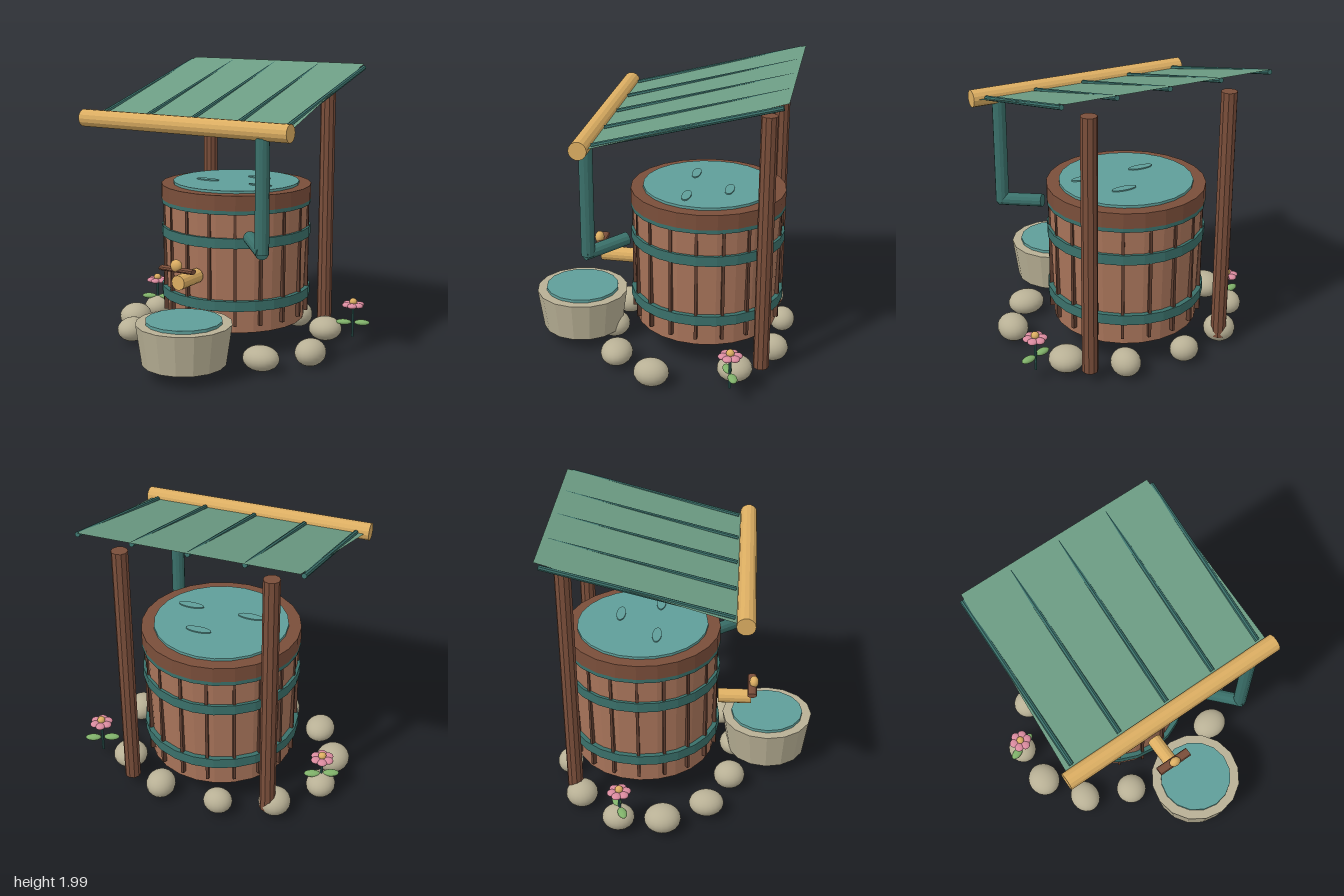
import * as THREE from 'three';

const paint = (name, color) => Object.assign(new THREE.MeshStandardMaterial({ color }), { name });

export function createModel() {
  const mats = {
    stave: paint('stave brown', 0xa8745a),
    wood: paint('dark wood', 0x7a4e3a),
    seam: paint('seam brown', 0x5f3e30),
    teal: paint('teal metal', 0x3a706a),
    gold: paint('warm yellow', 0xdcae62),
    water: paint('water', 0x5f9e99),
    roof: paint('roof green', 0x6c9c84),
    stone: paint('stone', 0xb8b095),
    pink: paint('petal pink', 0xd98a9e),
    leaf: paint('leaf green', 0x7fb069),
  };
  mats.roof.side = THREE.DoubleSide;

  const model = new THREE.Group();
  model.name = 'rainBarrel';

  const flat = (geo) => {
    const g = geo.toNonIndexed();
    g.computeVertexNormals();
    return g;
  };
  const add = (name, geo, mat, x = 0, y = 0, z = 0, parent = model) => {
    const mesh = new THREE.Mesh(geo, mat);
    mesh.name = name;
    mesh.position.set(x, y, z);
    parent.add(mesh);
    return mesh;
  };
  // Upright faceted cylinder between two heights
  const drum = (name, mat, rTop, rBottom, y0, y1, sides, x, z, parent) =>
    add(name, flat(new THREE.CylinderGeometry(rTop, rBottom, y1 - y0, sides)), mat, x, (y0 + y1) / 2, z, parent);
  // Faceted rod between two points
  const rod = (name, mat, a, b, r, sides) => {
    const p = new THREE.Vector3(...a), q = new THREE.Vector3(...b);
    const mid = p.clone().add(q).multiplyScalar(0.5);
    const mesh = add(name, flat(new THREE.CylinderGeometry(r, r, p.distanceTo(q), sides)), mat, mid.x, mid.y, mid.z);
    mesh.quaternion.setFromUnitVectors(new THREE.Vector3(0, 1, 0), q.sub(p).normalize());
    return mesh;
  };
  const ball = new THREE.SphereGeometry(1, 20, 14);
  const blob = (name, mat, pos, size, parent) => {
    const mesh = add(name, ball, mat, ...pos, parent);
    mesh.scale.set(...size);
    return mesh;
  };

  // Barrel
  const barrel = new THREE.Group();
  barrel.name = 'barrel';
  barrel.position.set(-0.02, 0, -0.29);
  model.add(barrel);
  drum('barrelBody', mats.stave, 0.522, 0.495, 0.2, 1.1, 24, 0, 0, barrel);
  drum('barrelBottom', mats.wood, 0.49, 0.49, 0.195, 0.205, 24, 0, 0, barrel);
  drum('barrelRim', mats.wood, 0.535, 0.535, 1.06, 1.165, 24, 0, 0, barrel);
  [[0.36, 0.43], [0.8, 0.87], [1.033, 1.06]].forEach(([y0, y1]) =>
    drum('barrelHoop', mats.teal, 0.535, 0.535, y0, y1, 24, 0, 0, barrel));
  drum('barrelWater', mats.water, 0.45, 0.45, 1.15, 1.183, 24, 0, 0, barrel);

  // Seams between the staves
  for (let i = 0; i < 18; i++) {
    const a = (i / 18) * Math.PI * 2;
    const seam = add('staveSeam', new THREE.BoxGeometry(0.03, 0.78, 0.02), mats.seam,
      Math.cos(a) * 0.509, 0.64, Math.sin(a) * 0.509, barrel);
    seam.rotation.y = -a;
  }

  // Ripples on the water
  [[-0.19, -0.18], [0.24, -0.18], [0.08, -0.45]].forEach(([x, z]) => {
    const ripple = drum('ripple', mats.water, 0.09, 0.09, 1.183, 1.191, 16, x, z);
    ripple.scale.z = 0.35;
  });

  // Posts
  for (const x of [-0.515, 0.477]) drum('post', mats.wood, 0.054, 0.054, 0.075, 1.85, 10, x, -0.737);

  // Sloping roof sheet, wider at the front
  const sheet = new THREE.BufferGeometry();
  sheet.setAttribute('position', new THREE.Float32BufferAttribute([
    -0.795, 1.655, 0.36, 0.755, 1.655, 0.36, 0.688, 1.998, -0.87, -0.728, 1.998, -0.87], 3));
  sheet.setIndex([0, 1, 2, 0, 2, 3]);
  sheet.computeVertexNormals();
  add('roofSheet', sheet, mats.roof);
  for (let i = -2; i <= 2; i++) {
    const x = -0.02 + i * 0.361;
    rod('roofRib', mats.teal, [x, 1.663, 0.345], [x, 1.973, -0.84], 0.017, 8);
  }

  // Gutter beam and downpipe
  rod('gutter', mats.gold, [-0.828, 1.65, 0.415], [0.788, 1.65, 0.415], 0.06, 14);
  rod('downpipe', mats.teal, [0.59, 0.86, 0.415], [0.59, 1.61, 0.415], 0.047, 12);
  rod('downpipeOutlet', mats.teal, [0.605, 0.87, 0.435], [0.375, 0.902, 0.2], 0.045, 12);

  // Tap
  rod('spout', mats.gold, [-0.02, 0.595, 0.235], [-0.02, 0.595, 0.47], 0.051, 14);
  const handle = rod('tapHandle', mats.wood, [-0.15, 0.687, 0.475], [0.107, 0.687, 0.475], 0.0175, 10);
  handle.scale.z = 1.9;
  blob('tapKnob', mats.gold, [-0.02, 0.718, 0.488], [0.042, 0.042, 0.032]);

  // Stone tub
  drum('tub', mats.stone, 0.323, 0.283, 0.095, 0.372, 16, 0.105, 0.59);
  drum('tubWater', mats.water, 0.257, 0.257, 0.36, 0.393, 16, 0.105, 0.59);

  // Ring of stones: x, z, half width, half depth
  [[0.5, 0.255, 0.13, 0.11], [0.725, -0.03, 0.105, 0.12], [0.57, -0.57, 0.12, 0.12],
    [0.24, -0.79, 0.1, 0.11], [-0.19, -0.82, 0.1, 0.09], [-0.55, -0.69, 0.11, 0.11],
    [-0.79, -0.41, 0.1, 0.11], [-0.79, -0.11, 0.115, 0.125], [-0.61, 0.18, 0.105, 0.12],
    [-0.29, 0.33, 0.11, 0.11], [0.1, 0.36, 0.12, 0.11]].forEach(([x, z, w, d], i) => {
    blob('stone', mats.stone, [x, 0.1, z], [w, 0.086 + 0.008 * (i % 2), d]);
  });

  // Flowers
  [[-0.79, -0.4], [0.79, -0.565]].forEach(([x, z]) => {
    const flower = new THREE.Group();
    flower.name = 'flower';
    flower.position.set(x, 0, z);
    model.add(flower);
    drum('stem', mats.teal, 0.009, 0.009, 0.075, 0.31, 8, 0, 0, flower);
    for (let i = 0; i < 6; i++) {
      const a = (i / 6) * Math.PI * 2 + 0.25;
      blob('petal', mats.pink, [Math.cos(a) * 0.048, 0.312, Math.sin(a) * 0.048], [0.034, 0.018, 0.034], flower);
    }
    blob('flowerCentre', mats.gold, [0, 0.335, 0], [0.027, 0.025, 0.027], flower);
    for (const s of [-1, 1]) {
      const leaf = blob('leaf', mats.leaf, [s * 0.06, 0.182, -s * 0.025], [0.055, 0.02, 0.03], flower);
      leaf.rotation.y = 0.35;
    }
  });

  return model;
}
